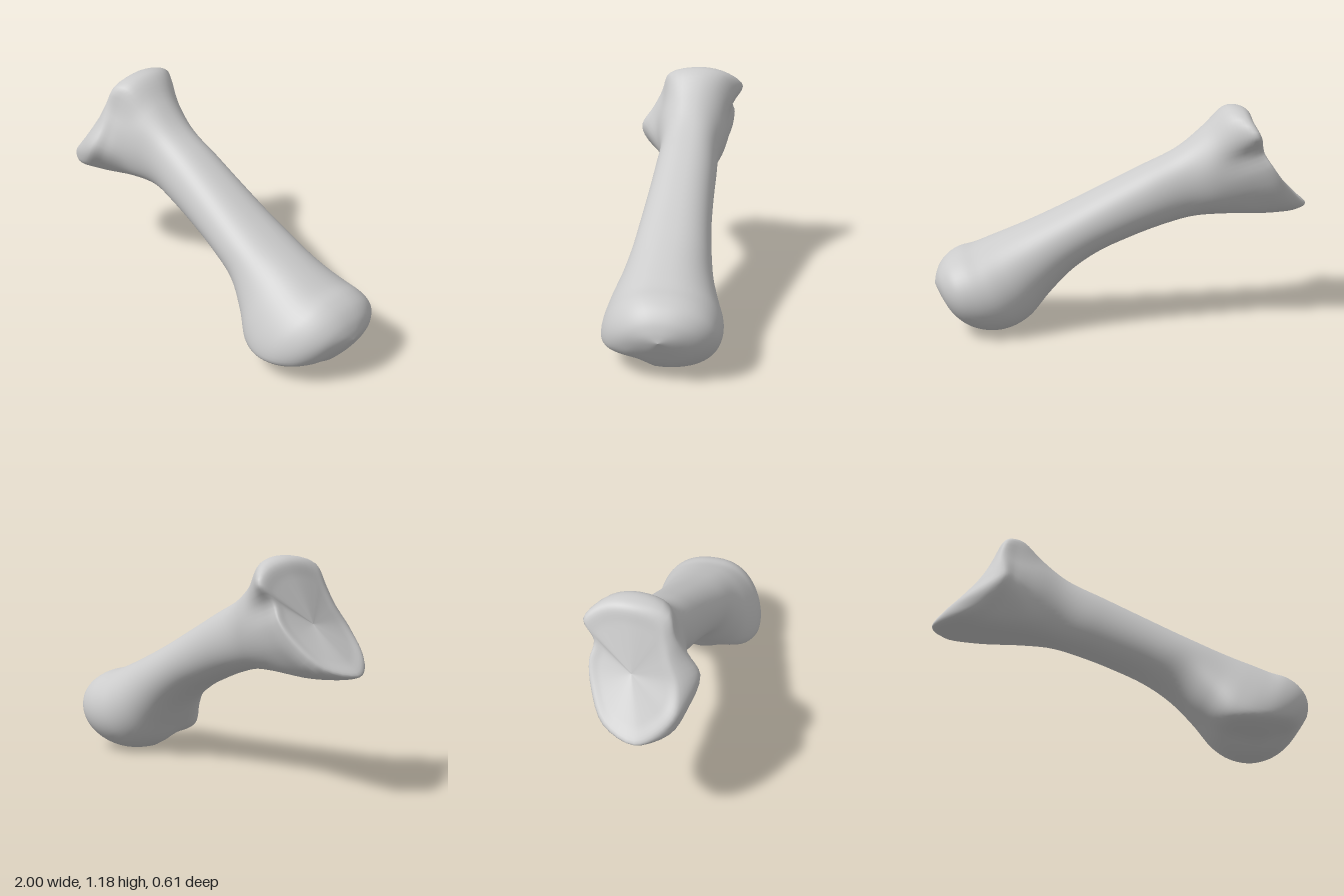
import * as THREE from 'three';

const AROUND = 56, ALONG = 100;
const V = (x, y, z) => new THREE.Vector3(x, y, z);

// Oval section between a top and a bottom point; drop lowers the widest part of the front side
function section([tx, ty, bx, by, front, back, drop = 0]) {
  return Array.from({ length: AROUND }, (_, i) => {
    const a = (i / AROUND) * Math.PI * 2;
    const s = Math.sin(a), c = Math.cos(a);
    const u = c - (s > 0 ? drop * s * s : 0);
    const z = Math.sign(s) * Math.pow(Math.abs(s), 0.85);
    return V((tx + bx) / 2 + (u * (tx - bx)) / 2, (ty + by) / 2 + (u * (ty - by)) / 2,
      (front + back) / 2 + (z * (front - back)) / 2);
  });
}

// Ring through a loop of points that starts at the top and runs down the front
function loop(points) {
  const curve = new THREE.CatmullRomCurve3(points.map((p) => V(...p)), true, 'centripetal');
  return Array.from({ length: AROUND }, (_, i) => curve.getPoint(i / AROUND));
}

const blend = (a, b, t) => a.map((p, i) => p.clone().lerp(b[i], t));
const pole = (p) => Array.from({ length: AROUND }, () => p.clone());

// Smooth closed skin through a list of rings
function loft(rings) {
  const pos = [], index = [];
  const columns = rings[0].map((_, i) =>
    new THREE.CatmullRomCurve3(rings.map((r) => r[i]), false, 'centripetal'));
  for (let j = 0; j <= ALONG; j++) {
    for (const column of columns) pos.push(...column.getPoint(j / ALONG).toArray());
  }
  for (let j = 0; j < ALONG; j++) {
    for (let i = 0; i < AROUND; i++) {
      const n = (i + 1) % AROUND, r = j * AROUND, q = r + AROUND;
      index.push(r + i, r + n, q + i, r + n, q + n, q + i);
    }
  }
  const g = new THREE.BufferGeometry();
  g.setAttribute('position', new THREE.Float32BufferAttribute(pos, 3));
  g.setIndex(index);
  g.computeVertexNormals();
  return g;
}

export function createModel() {
  // Edge of the end face: crest, front edge, tongue tip, back wing
  const edge = loop([
    [-0.655, 1.155, -0.06], [-0.66, 1.11, 0.1], [-0.69, 1.02, 0.135], [-0.725, 0.93, 0.165],
    [-0.77, 0.83, 0.215], [-0.85, 0.725, 0.225], [-0.94, 0.66, 0.16], [-1, 0.625, 0.06],
    [-0.945, 0.67, -0.11], [-0.835, 0.79, -0.2], [-0.76, 0.89, -0.232], [-0.71, 0.97, -0.22],
    [-0.685, 1.06, -0.275], [-0.655, 1.125, -0.2],
  ]);

  // Widest outline just behind it, with the front wing
  const wing = loop([
    [-0.615, 1.178, -0.06], [-0.625, 1.135, 0.125], [-0.65, 1.03, 0.168], [-0.645, 0.93, 0.22],
    [-0.65, 0.82, 0.288], [-0.75, 0.69, 0.255], [-0.88, 0.622, 0.2], [-0.965, 0.607, 0.06],
    [-0.91, 0.64, -0.12], [-0.81, 0.75, -0.205], [-0.74, 0.87, -0.235], [-0.685, 0.965, -0.228],
    [-0.665, 1.06, -0.287], [-0.62, 1.145, -0.205],
  ]);

  // Shallow end face
  const dish = pole(V(-0.77, 0.86, -0.02));
  const neck = section([-0.43, 1.07, -0.52, 0.6, 0.175, -0.215, 0.2]);
  const flare = blend(neck, wing, 0.6);
  flare.forEach((p) => { // fuller crest and flat underside just behind the wing
    p.y += 0.04 * THREE.MathUtils.smoothstep(p.y, 0.98, 1.1);
    p.y -= 0.015 * (1 - THREE.MathUtils.smoothstep(p.y, 0.6, 0.7));
  });

  // Shaft, then the rounded lower end
  const shaft = [
    [-0.29, 0.955, -0.37, 0.59, 0.14, -0.185],
    [-0.1, 0.86, -0.2, 0.545, 0.147, -0.186],
    [0.1, 0.76, -0.03, 0.482, 0.16, -0.188],
    [0.3, 0.66, 0.13, 0.41, 0.177, -0.196],
    [0.45, 0.59, 0.27, 0.315, 0.195, -0.212],
    [0.58, 0.535, 0.39, 0.19, 0.235, -0.235, 0.2],
    [0.69, 0.49, 0.49, 0.07, 0.285, -0.272, 0.35],
    [0.79, 0.452, 0.58, 0.018, 0.305, -0.303, 0.38],
    [0.87, 0.433, 0.69, 0, 0.295, -0.308, 0.34],
    [0.93, 0.398, 0.8, 0.028, 0.25, -0.288, 0.25],
    [0.97, 0.35, 0.885, 0.085, 0.18, -0.225, 0.12],
    [0.99, 0.3, 0.95, 0.17, 0.09, -0.13],
  ].map(section);

  // Step under the lower end: the front lobe sits higher than the back one
  shaft.slice(6).flat().forEach((p) => {
    p.y += 0.055 * THREE.MathUtils.smoothstep(p.z, 0.0, 0.14)
      * (1 - THREE.MathUtils.smoothstep(p.y, 0, 0.16));
  });

  const bone = new THREE.Mesh(
    loft([dish, blend(edge, dish, 0.6), blend(edge, dish, 0.25), edge, wing,
      flare, neck, ...shaft, pole(V(0.998, 0.25, -0.02))]),
    new THREE.MeshStandardMaterial({ color: 0xcccccc }));
  bone.name = 'bone';

  const group = new THREE.Group();
  group.name = 'limbBone';
  group.add(bone);
  return group;
}
